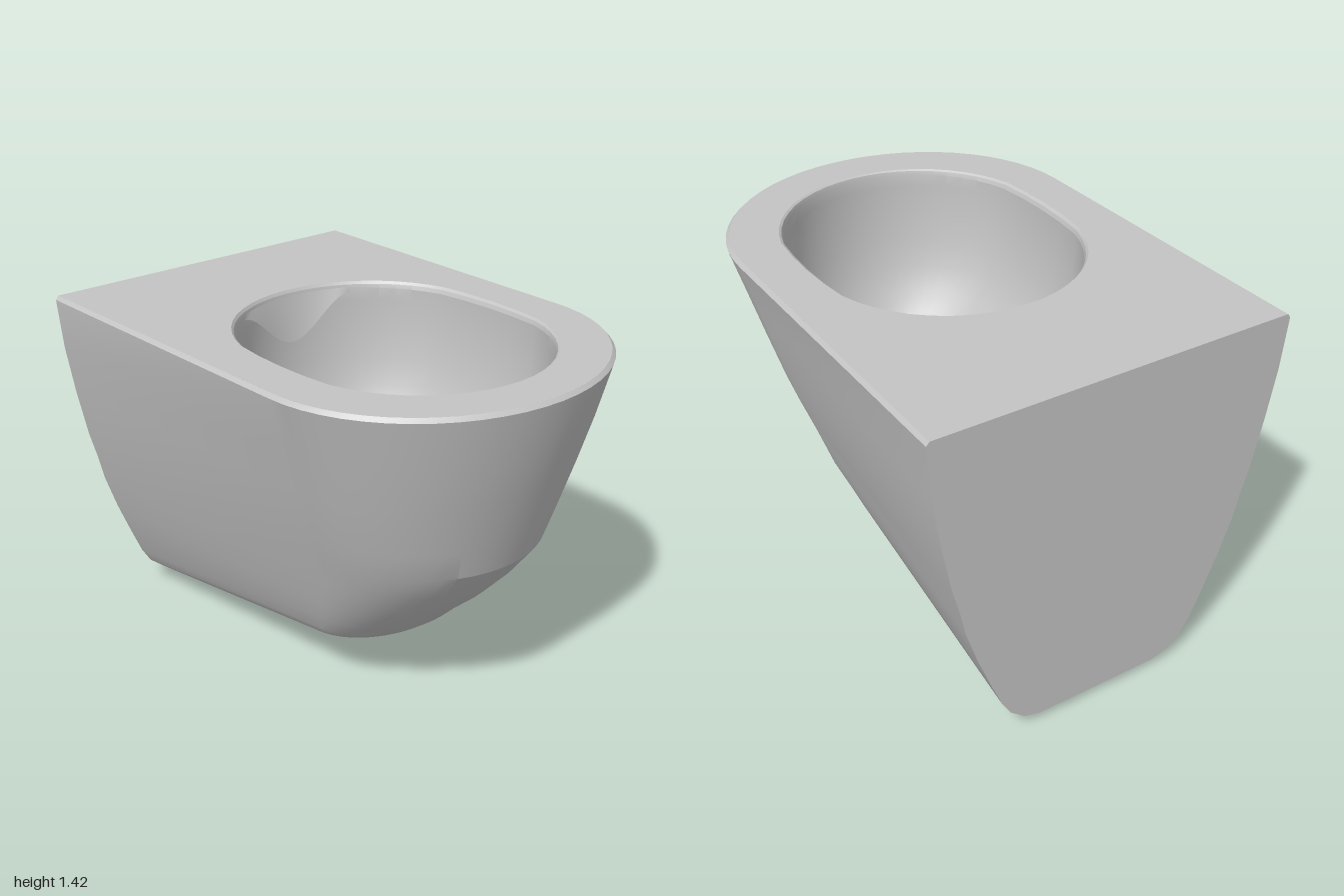
import * as THREE from 'three';
import { toCreasedNormals } from 'three/addons/utils/BufferGeometryUtils.js';

const ceramic = new THREE.MeshStandardMaterial({ color: 0xc4c4c4 });
ceramic.name = 'ceramic';
const ceramicThin = ceramic.clone();
ceramicThin.side = THREE.DoubleSide;

const lerp = THREE.MathUtils.lerp;
const topY = (z) => 1.415 - 0.005 * z;

// Skin a list of equally long point rings, running downwards
function loft(rings, crease) {
  const n = rings[0].length, pos = [], index = [];
  rings.forEach((ring) => ring.forEach((p) => pos.push(...p)));
  for (let i = 0; i < rings.length - 1; i++) {
    for (let j = 0; j < n - 1; j++) {
      const a = i * n + j, c = a + n;
      index.push(a, c, a + 1, c, c + 1, a + 1);
    }
  }
  const g = new THREE.BufferGeometry();
  g.setAttribute('position', new THREE.Float32BufferAttribute(pos, 3));
  g.setIndex(index);
  return toCreasedNormals(g, crease);
}

// Body levels: back half-width, back y, side half-width, front z, front y, z where the nose starts
const LEVELS = [
  [0.718, 1.42, 0.703, 0.985, 1.41, 0.35],
  [0.73, 1.405, 0.717, 1.0, 1.395, 0.35],
  [0.712, 1.2, 0.655, 0.955, 1.2, 0.35],
  [0.68, 1.0, 0.6, 0.905, 1.02, 0.34],
  [0.64, 0.8, 0.54, 0.845, 0.82, 0.32],
  [0.61, 0.69, 0.5, 0.81, 0.7, 0.3],
  [0.585, 0.58, 0.46, 0.72, 0.58, 0.27],
  [0.535, 0.43, 0.42, 0.6, 0.45, 0.23],
  [0.48, 0.29, 0.38, 0.5, 0.36, 0.18],
  [0.43, 0.17, 0.35, 0.43, 0.29, 0.14],
  [0.39, 0.105, 0.325, 0.385, 0.255, 0.11],
  [0.33, 0.055, 0.29, 0.34, 0.235, 0.08],
  [0.26, 0.035, 0.25, 0.3, 0.225, 0.05],
];

// U-shaped outline: straight sides from the wall, elliptical nose
function bodyRing([wb, yb, wf, zf, yf, z0]) {
  const ring = [];
  const add = (x, z) => ring.push([x, lerp(yb, yf, (z + 1) / (zf + 1)), z]);
  add(-wb, -1);
  for (let k = 0; k <= 28; k++) {
    const t = Math.PI * (k / 28);
    add(-wf * Math.cos(t), z0 + (zf - z0) * Math.sin(t));
  }
  add(wb, -1);
  return ring;
}

// Point on a rounded oblong; t = 0 is the front, t = PI the back
function ovalPoint(r, t) {
  const straight = 0.115 + 0.36 * (0.515 - r);
  const c = Math.cos(t);
  return [-r * Math.sin(t), 0.175 + r * c + straight * THREE.MathUtils.clamp(c * 4, -1, 1)];
}

function ovalRing(r, y) {
  const ring = [];
  for (let k = 0; k <= 48; k++) {
    const [x, z] = ovalPoint(r, (k / 48) * Math.PI * 2);
    ring.push([x, y === null ? topY(z) : y, z]);
  }
  return ring;
}

export function createModel() {
  const model = new THREE.Group();
  model.name = 'wallHungToilet';
  const add = (name, geometry, material = ceramic) => {
    const mesh = new THREE.Mesh(geometry, material);
    mesh.name = name;
    model.add(mesh);
    return mesh;
  };
  const setHeight = (g, f) => {
    const p = g.attributes.position;
    for (let i = 0; i < p.count; i++) p.setY(i, f(p.getZ(i)));
    g.computeVertexNormals();
    return g;
  };
  const outline = (ring, f) => ring.map((p) => new THREE.Vector2(...f(p)));

  // Outer shell
  const rings = LEVELS.map(bodyRing);
  add('outerShell', loft(rings, 0.3));

  // Flat top with the bowl opening
  const topShape = new THREE.Shape(outline(rings[0], ([x, , z]) => [x, -z]));
  topShape.holes.push(new THREE.Path(outline(ovalRing(0.53, 0).slice(0, -1), ([x, , z]) => [x, -z])));
  add('topRim', setHeight(new THREE.ShapeGeometry(topShape).rotateX(-Math.PI / 2), topY));

  // Flat wall face at the back
  const left = rings.map((r) => r[0]);
  const right = rings.map((r) => r[r.length - 1]).reverse();
  const backShape = new THREE.Shape(outline([...left, ...right], ([x, y]) => [x, y]));
  add('wallFace', new THREE.ShapeGeometry(backShape).rotateY(Math.PI).translate(0, 0, -1));

  // Sloping underside
  const bottomShape = new THREE.Shape(outline(rings[rings.length - 1], ([x, , z]) => [x, z]));
  add('underside', setHeight(new THREE.ShapeGeometry(bottomShape).rotateX(Math.PI / 2),
    (z) => lerp(0.035, 0.225, (z + 1) / 1.3)));

  // Bowl: rounded lip, steep wall, shallow floor
  const bowl = [
    [0.53, null], [0.519, 1.406], [0.513, 1.39], [0.513, 1.34], [0.505, 1.22], [0.485, 1.1],
    [0.455, 0.99], [0.4, 0.88], [0.33, 0.8], [0.25, 0.755], [0.12, 0.74], [0.001, 0.735],
  ];
  add('bowl', loft(bowl.map(([r, y]) => ovalRing(r, y)), 0.3));

  // Water deflector hanging from the back of the rim
  const rows = [];
  for (let i = 0; i <= 4; i++) {
    const row = [];
    for (let k = 0; k <= 20; k++) {
      const u = (k / 20) * 2 - 1;
      const drop = 0.02 + 0.16 * Math.cos((u * Math.PI) / 2) ** 2;
      const [x, z] = ovalPoint(0.513, Math.PI + u * 0.55);
      const s = i / 4;
      row.push([x, 1.395 - drop * s, z + 0.04 * s * (1 - u * u)]);
    }
    rows.push(row);
  }
  add('waterDeflector', loft(rows, 0.6), ceramicThin);

  // Faceted trap bulge under the body
  const trap = new THREE.SphereGeometry(1, 10, 8).scale(0.21, 0.18, 0.26).toNonIndexed();
  trap.computeVertexNormals();
  add('trapBulge', trap).position.set(0, 0.18, -0.31);

  return model;
}
